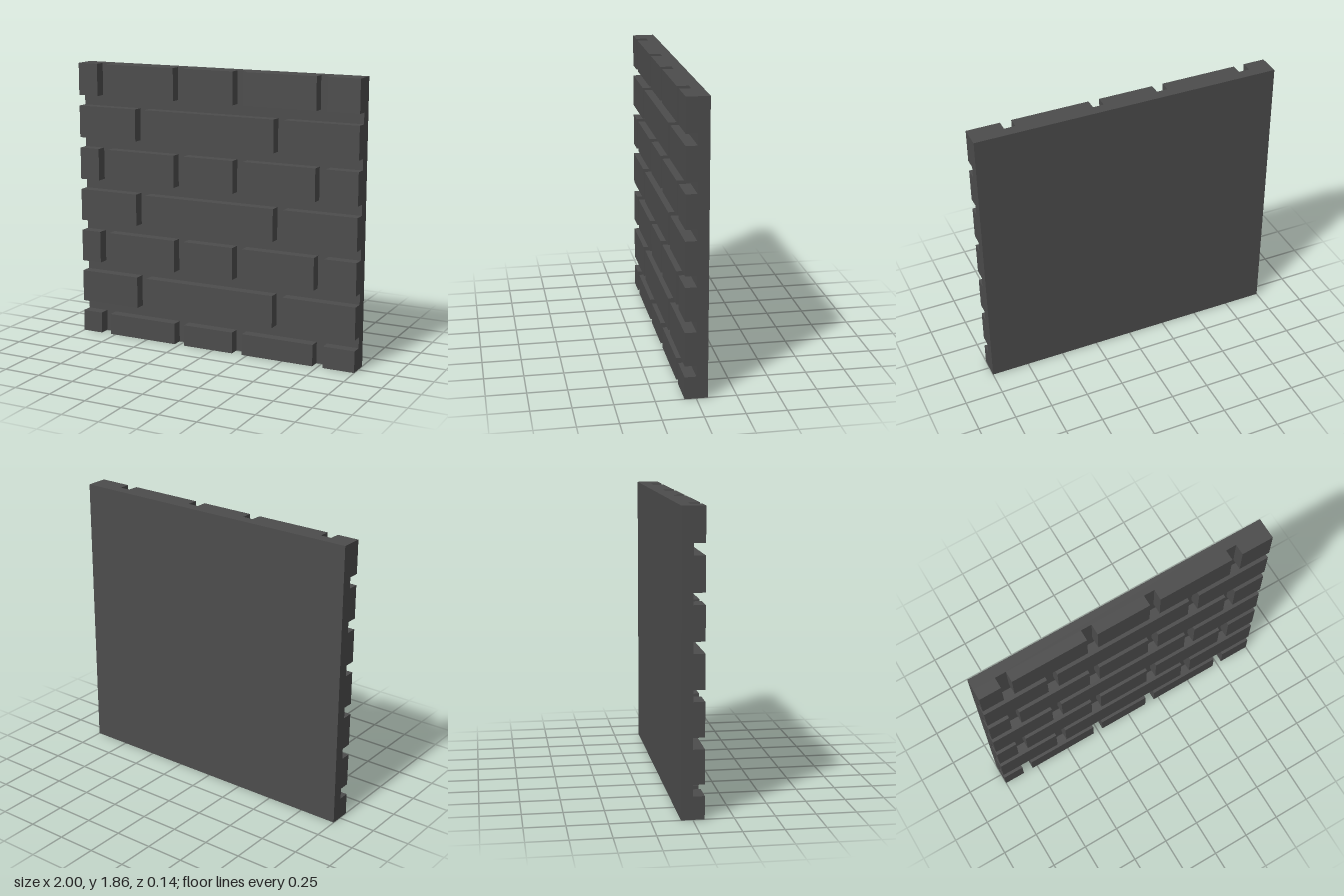
import * as THREE from 'three';

// Everything sits on a grid of 1/14 unit (one mortar joint wide).
const U = 1 / 14;

export function createModel() {
  const group = new THREE.Group();
  group.name = 'brickWall';

  const stone = new THREE.MeshStandardMaterial({ color: 0x4c4c4c });
  stone.name = 'darkGreyStone';

  // Box given by its limits in grid units
  function block(name, x0, x1, y0, y1, z0, z1) {
    const geometry = new THREE.BoxGeometry((x1 - x0) * U, (y1 - y0) * U, (z1 - z0) * U);
    const mesh = new THREE.Mesh(geometry, stone);
    mesh.position.set((x0 + x1) / 2 * U, (y0 + y1) / 2 * U, (z0 + z1) / 2 * U);
    mesh.name = name;
    return mesh;
  }

  // Mortar backing slab
  group.add(block('backingSlab', -14, 14, 0, 26, -1, 0));

  // Two alternating brick courses: [left, right] limits of each brick
  const shortCourse = [[-14, -12], [-11, -4], [-3, 2], [3, 10], [11, 14]];
  const longCourse = [[-14, -8], [-7, 6], [7, 14]];

  // Seven courses; the lowest is cut off by the ground
  for (let row = 0; row < 7; row++) {
    const course = new THREE.Group();
    course.name = `brickCourse${row + 1}`;
    const top = 2 + row * 4;
    const bottom = Math.max(0, top - 3);
    for (const [x0, x1] of row % 2 ? longCourse : shortCourse) {
      course.add(block('brick', x0, x1, bottom, top, 0, 1));
    }
    group.add(course);
  }

  return group;
}
